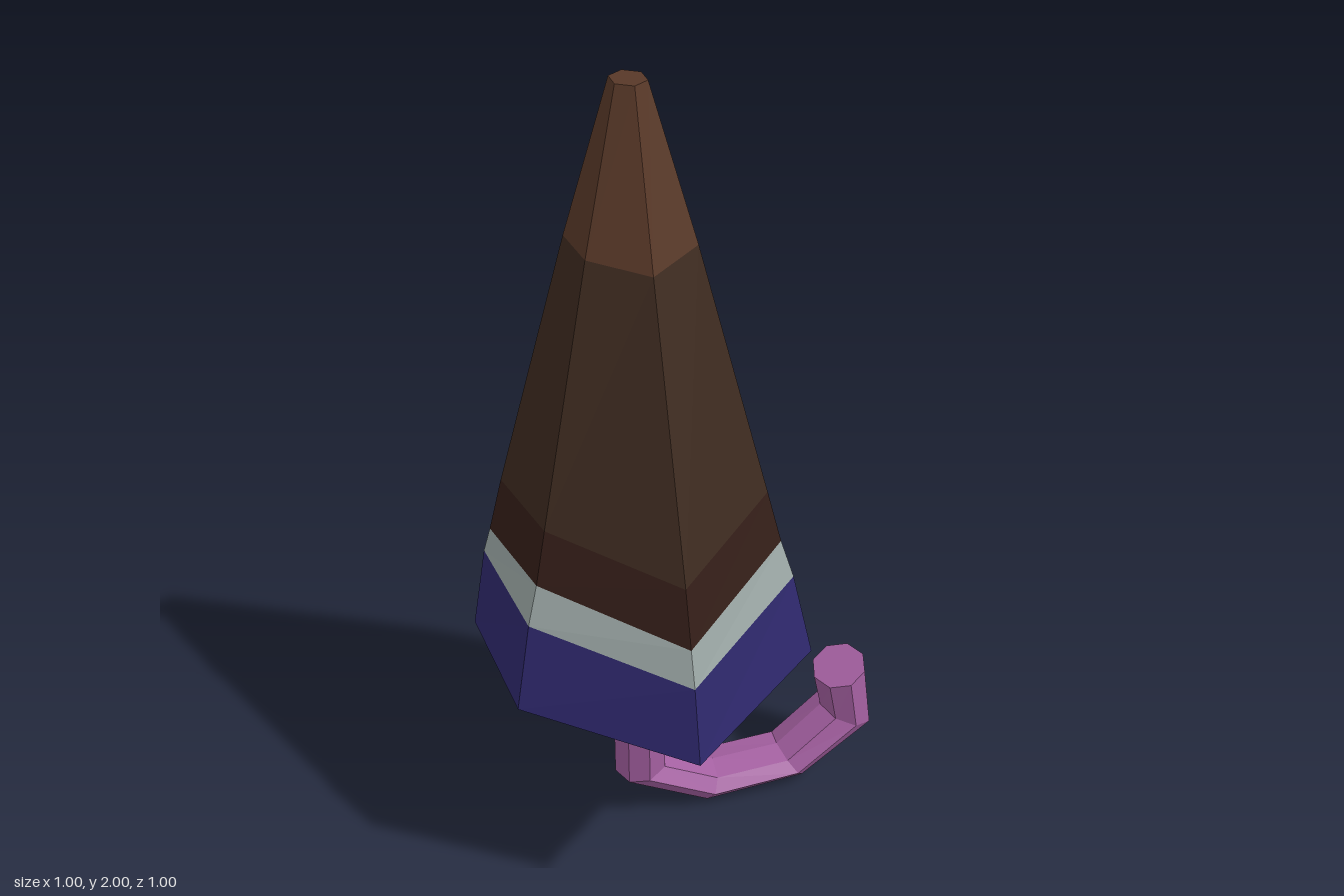
import * as THREE from 'three';

// Skin a list of rings (each counter-clockwise about the path) with flat faces.
// capStart / capEnd are optional centre points closing the ends.
function loft(name, color, rings, capStart, capEnd) {
  const pts = [];
  const tri = (a, b, c) => pts.push(a, b, c);
  const n = rings[0].length;
  for (let i = 0; i < n; i++) {
    const j = (i + 1) % n;
    for (let k = 0; k < rings.length - 1; k++) {
      const a = rings[k], b = rings[k + 1];
      tri(a[i], a[j], b[j]);
      tri(a[i], b[j], b[i]);
    }
    if (capStart) tri(capStart, rings[0][j], rings[0][i]);
    if (capEnd) tri(capEnd, rings.at(-1)[i], rings.at(-1)[j]);
  }
  const geometry = new THREE.BufferGeometry().setFromPoints(pts);
  geometry.computeVertexNormals();
  const mesh = new THREE.Mesh(geometry, new THREE.MeshStandardMaterial({ color, flatShading: true }));
  mesh.name = name;
  return mesh;
}

const V = (x, y, z) => new THREE.Vector3(x, y, z);
const AXIS_X = -0.137;

export function createModel() {
  const model = new THREE.Group();
  model.name = 'umbrella';

  // Canopy ribs: rim position, then height and scale at each colour boundary
  const front = { y: [0.54, 0.73, 0.82, 0.96, 1.62, 2], s: [1, 0.92, 0.865, 0.785, 0.34, 0.1] };
  const sideFront = { y: [0.6, 0.81, 0.905, 1.035, 1.64, 2], s: [1, 0.885, 0.81, 0.73, 0.35, 0.1] };
  const sideBack = { y: [0.495, 0.725, 0.795, 0.945, 1.62, 2], s: [1, 0.91, 0.865, 0.78, 0.36, 0.1] };
  const back = { y: [0.575, 0.79, 0.88, 1.01, 1.63, 2], s: [1, 0.88, 0.82, 0.74, 0.34, 0.1] };
  const ribs = [
    [0, 0.5, front], [0.363, 0.25, sideFront], [0.363, -0.25, sideBack],
    [0, -0.5, back], [-0.363, -0.25, sideBack], [-0.363, 0.25, sideFront],
  ];
  const rings = front.y.map((_, k) =>
    ribs.map(([x, z, r]) => V(AXIS_X + x * r.s[k], r.y[k], z * r.s[k])));

  // Canopy bands, with a closed underside and a flat tip
  const canopy = new THREE.Group();
  canopy.name = 'canopy';
  const bands = [
    ['rimBand', 0x2e286c], ['paleStripe', 0x9ca8a6], ['darkBand', 0x341e18],
    ['canopyCloth', 0x3d2a1f], ['canopyTip', 0x583828],
  ];
  bands.forEach(([name, color], k) => canopy.add(loft(
    name, color, [rings[k], rings[k + 1]],
    k === 0 ? V(AXIS_X, 0.6, 0) : null,
    k === bands.length - 1 ? V(AXIS_X, 2, 0) : null)));
  model.add(canopy);

  // Octagonal section spanning an outer and an inner point of the handle
  const section = ([ox, oy, ix, iy]) => Array.from({ length: 8 }, (_, i) => {
    const t = (i / 8) * Math.PI * 2, u = Math.sin(t) / 2;
    return V((ox + ix) / 2 + (ix - ox) * u, (oy + iy) / 2 + (iy - oy) * u, 0.088 * Math.cos(t));
  });
  const centre = ([ox, oy, ix, iy]) => V((ox + ix) / 2, (oy + iy) / 2, 0);

  // Hooked handle from its free end round to the shaft
  const hook = [
    [0.475, 0.345, 0.34, 0.3], [0.497, 0.16, 0.36, 0.205], [0.3, 0.02, 0.24, 0.1],
    [0.02, 0.003, 0.06, 0.095], [-0.205, 0.125, -0.07, 0.165], [-0.205, 0.39, -0.07, 0.39],
  ];
  const shaftTop = [-0.205, 0.66, -0.07, 0.66];
  model.add(loft('handle', 0xa35fa0, hook.map(section), centre(hook[0])));
  model.add(loft('shaft', 0x6a2a80, [section(hook.at(-1)), section(shaftTop)], null, centre(shaftTop)));

  return model;
}
